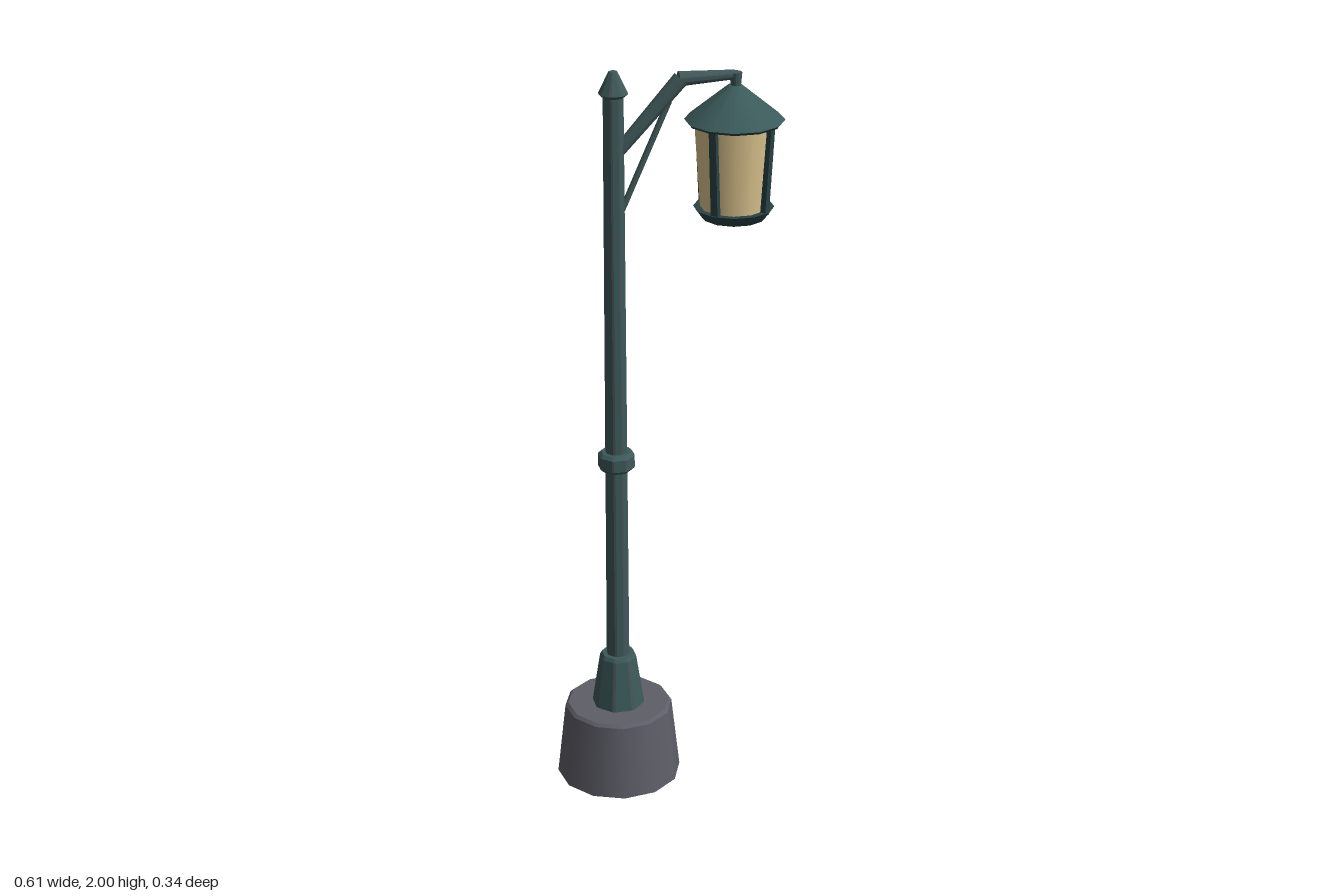
import * as THREE from 'three';

const paint = (name, color) => {
  const m = new THREE.MeshStandardMaterial({ color });
  m.name = name;
  return m;
};

// Faceted post from [radius, y] rings: wide flats (group 0) and narrow chamfered edges (group 1)
function chamferedPost(rings, sides, chamfer = 0.16) {
  const flats = [], edges = [];
  const step = (Math.PI * 2) / sides, half = step * chamfer * 0.5;
  const at = (a, [r, y]) => [r * Math.sin(a), y, r * Math.cos(a)];
  const bottom = rings[0], top = rings[rings.length - 1];
  const band = (list, a0, a1) => {
    for (let k = 0; k < rings.length - 1; k++) {
      const p = at(a0, rings[k]), q = at(a1, rings[k]);
      const r = at(a1, rings[k + 1]), s = at(a0, rings[k + 1]);
      list.push(...p, ...q, ...r, ...p, ...r, ...s);
    }
    list.push(0, top[1], 0, ...at(a0, top), ...at(a1, top));
    list.push(0, bottom[1], 0, ...at(a1, bottom), ...at(a0, bottom));
  };
  for (let i = 0; i < sides; i++) {
    const corner = (i + 0.5) * step;
    band(edges, corner - half, corner + half);
    band(flats, corner + half, corner + step - half);
  }
  const geo = new THREE.BufferGeometry();
  geo.setAttribute('position', new THREE.Float32BufferAttribute([...flats, ...edges], 3));
  geo.addGroup(0, flats.length / 3, 0);
  geo.addGroup(flats.length / 3, edges.length / 3, 1);
  geo.computeVertexNormals();
  return geo;
}

export function createModel() {
  const green = paint('green iron', 0x3a5a59);
  const worn = paint('worn iron edge', 0x4b5257);
  const dark = paint('dark iron', 0x2a4244);
  const stone = paint('stone', 0x5e5e68);
  const glass = paint('warm glass', 0xdcc48e);
  const iron = [green, worn];

  const model = new THREE.Group();
  const add = (name, geo, mat, parent = model) => {
    const mesh = new THREE.Mesh(geo, mat);
    mesh.name = name;
    parent.add(mesh);
    return mesh;
  };

  // Tapered drum with its lower rim at y0 and upper rim at y1
  const drum = (r0, r1, y0, y1, sides, start, open = false) =>
    new THREE.CylinderGeometry(r1, r0, y1 - y0, sides, 1, open, start)
      .translate(0, (y0 + y1) / 2, 0);

  // Post group: stone base, foot, shaft, collar and finial
  const post = new THREE.Group();
  post.name = 'post';
  post.position.x = -0.135;
  model.add(post);
  const turn = THREE.MathUtils.degToRad(23);
  add('stoneBase', drum(0.17, 0.147, 0, 0.206, 12, turn), stone, post);
  add('stoneBaseBevel', drum(0.147, 0.139, 0.206, 0.214, 12, turn), stone, post);
  add('foot', chamferedPost([[0.072, 0.21], [0.05, 0.355], [0.044, 0.365]], 8), iron, post);
  add('shaft', chamferedPost([[0.031, 0.36], [0.026, 1.95]], 8, 0.25), iron, post);
  add('collar', chamferedPost(
    [[0.04, 0.918], [0.049, 0.927], [0.049, 0.96], [0.04, 0.969]], 8), iron, post);
  add('finial', chamferedPost(
    [[0.028, 1.935], [0.038, 1.944], [0.034, 1.952], [0.016, 1.99], [0.011, 2]], 8, 0.25), iron, post);

  // Bracket bars between two points in the x-y plane
  const bar = (name, x0, y0, r0, x1, y1, r1, sides = 8) => {
    const a = new THREE.Vector3(x0, y0, 0), d = new THREE.Vector3(x1, y1, 0).sub(a);
    const mesh = add(name, chamferedPost([[r0, 0], [r1, d.length()]], sides, 0.3), iron);
    mesh.position.copy(a);
    mesh.quaternion.setFromUnitVectors(new THREE.Vector3(0, 1, 0), d.normalize());
  };
  bar('lowerArm', -0.125, 1.79, 0.016, 0.038, 1.97, 0.021);
  bar('upperArm', 0.032, 1.97, 0.019, 0.178, 1.972, 0.012);
  bar('brace', -0.122, 1.62, 0.008, 0.008, 1.915, 0.008, 4);
  bar('hanger', 0.18, 1.93, 0.012, 0.18, 1.978, 0.016);

  // Lantern: roof, glass, tray and corner bars
  const lantern = new THREE.Group();
  lantern.name = 'lantern';
  lantern.position.x = 0.178;
  model.add(lantern);
  const offset = Math.PI / 12;
  add('roof', drum(0.128, 0.018, 1.856, 1.945, 12, offset), green, lantern);
  add('roofRim', drum(0.122, 0.128, 1.849, 1.856, 12, offset), dark, lantern);
  add('glass', drum(0.086, 0.102, 1.62, 1.85, 12, offset, true), glass, lantern);
  add('trayRim', drum(0.094, 0.104, 1.611, 1.626, 12, offset), dark, lantern);
  add('tray', drum(0.083, 0.094, 1.598, 1.611, 12, offset), dark, lantern);
  for (let i = 0; i < 4; i++) {
    const pivot = new THREE.Group();
    pivot.name = 'cornerBar';
    pivot.rotation.y = Math.PI / 4 + (i * Math.PI) / 2;
    lantern.add(pivot);
    const rod = add('cornerRod', new THREE.BoxGeometry(0.02, 0.235, 0.018), dark, pivot);
    rod.position.set(0, 1.735, 0.096);
    rod.rotation.x = 0.06;
  }
  return model;
}
